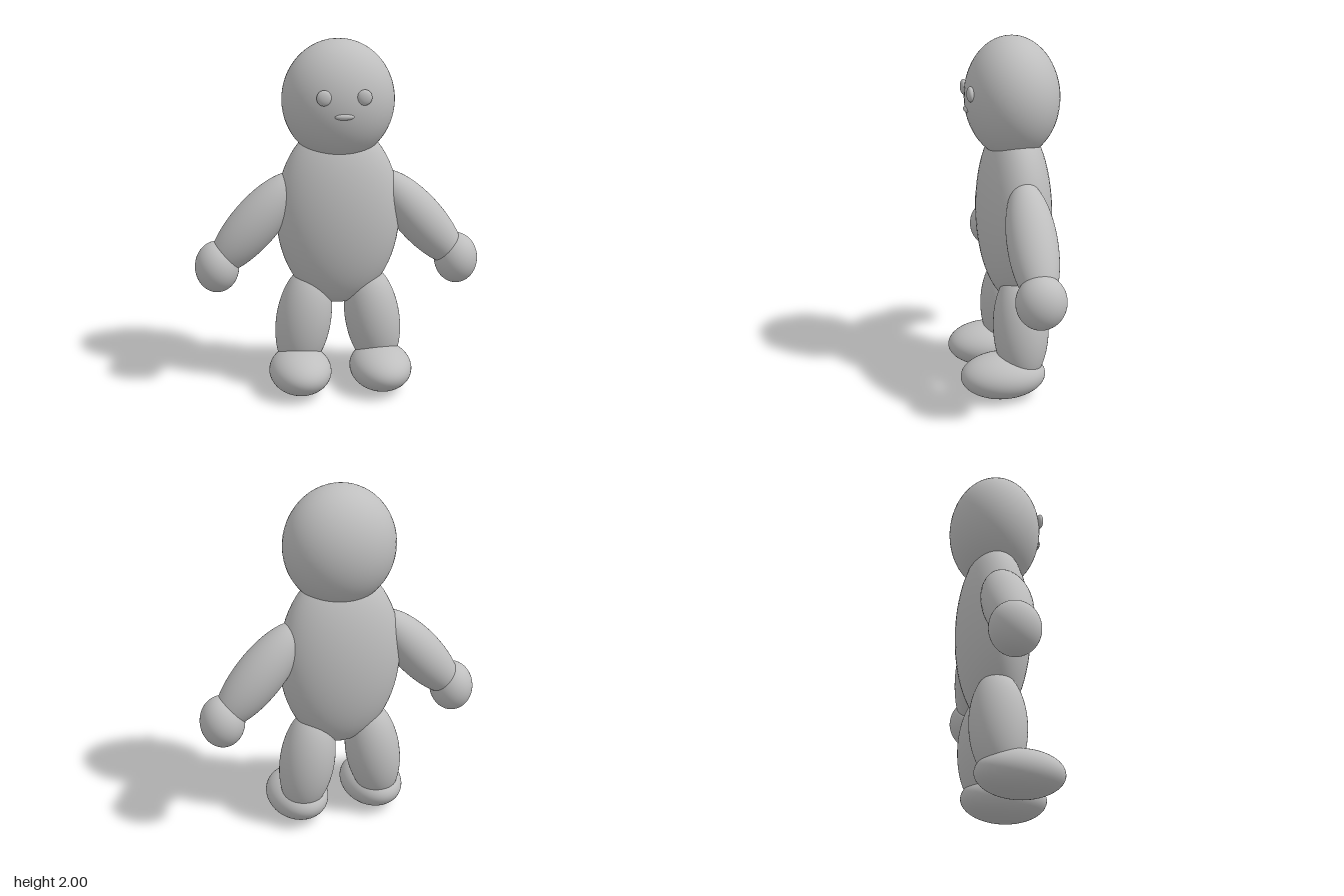
import * as THREE from 'three';

export function createModel() {
  const model = new THREE.Group();
  model.name = 'doll';
  const grey = new THREE.MeshStandardMaterial({ color: 0xbfbfbf });
  grey.name = 'plain grey';
  const ball = new THREE.SphereGeometry(1, 48, 32);

  // One smooth ellipsoid: centre, radii and sideways tilt
  function ellipsoid(name, centre, radii, tilt = 0) {
    const mesh = new THREE.Mesh(ball, grey);
    mesh.name = name;
    mesh.position.set(...centre);
    mesh.scale.set(...radii);
    mesh.rotation.z = tilt;
    model.add(mesh);
  }

  // Mirrored pair; the given values are for the left (+x) side
  function pair(name, [x, y, z], radii, tilt = 0) {
    ellipsoid('left' + name, [x, y, z], radii, tilt);
    ellipsoid('right' + name, [-x, y, z], radii, -tilt);
  }

  // Head and body
  ellipsoid('head', [0, 1.666, -0.036], [0.313, 0.334, 0.261]);
  ellipsoid('torso', [0, 1.02, -0.045], [0.35, 0.525, 0.208]);

  // Face
  pair('Eye', [0.109, 1.71, 0.212], [0.04, 0.042, 0.02]);
  ellipsoid('mouth', [0, 1.608, 0.212], [0.054, 0.018, 0.02]);

  // Arms reach down and outwards, ending in round hands
  pair('Arm', [0.47, 0.975, -0.05], [0.135, 0.362, 0.135], 0.722);
  pair('Hand', [0.687, 0.73, -0.05], [0.124, 0.146, 0.135]);

  // Legs splay slightly above forward-pointing feet
  pair('Leg', [0.2, 0.395, -0.048], [0.158, 0.32, 0.156], 0.157);
  pair('Foot', [0.232, 0.127, 0.06], [0.177, 0.127, 0.24]);

  return model;
}
